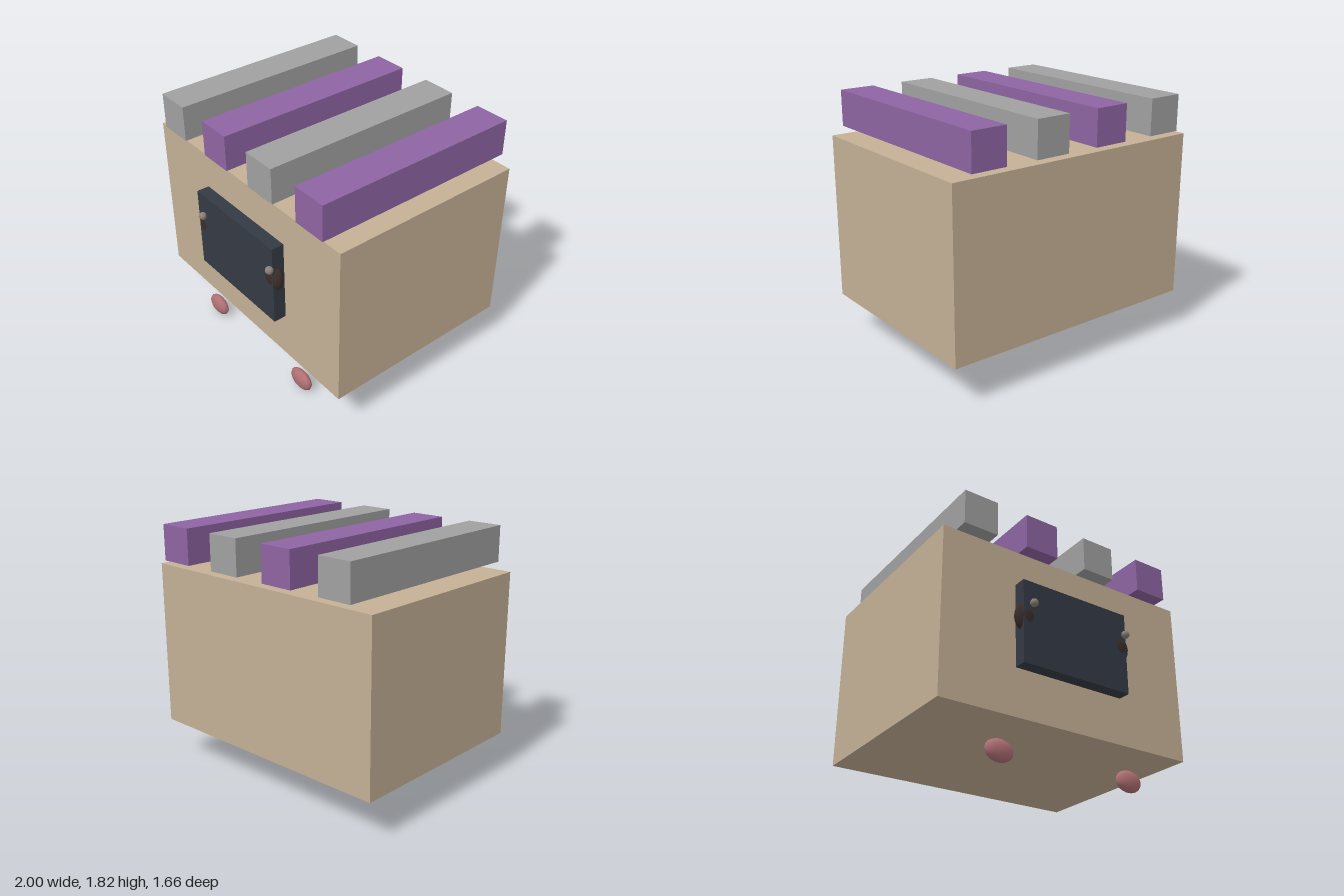
import * as THREE from 'three';

const mat = (color) => new THREE.MeshStandardMaterial({ color });
const tan = mat(0xc4b095), grey = mat(0xa0a0a0), purple = mat(0x8e64a2);
const slate = mat(0x343a44), brown = mat(0x3a2e2a), stone = mat(0x8a8078), pink = mat(0xb07074);

export function createModel() {
  const model = new THREE.Group();

  // Box spanning two opposite corners
  const box = (name, material, [x0, y0, z0], [x1, y1, z1]) => {
    const mesh = new THREE.Mesh(new THREE.BoxGeometry(x1 - x0, y1 - y0, z1 - z0), material);
    mesh.position.set((x0 + x1) / 2, (y0 + y1) / 2, (z0 + z1) / 2);
    mesh.name = name;
    model.add(mesh);
  };

  // Sphere stretched to the given radii
  const ellipsoid = (name, material, centre, radii) => {
    const mesh = new THREE.Mesh(new THREE.SphereGeometry(1, 12, 10), material);
    mesh.position.set(...centre);
    mesh.scale.set(...radii);
    mesh.name = name;
    model.add(mesh);
  };

  // Body and front panel
  box('body', tan, [-1, 0.3, -0.785], [1, 1.515, 0.69]);
  box('frontPanel', slate, [-0.435, 0.645, 0.69], [0.435, 1.255, 0.783]);

  // Row of bars floating above the body, alternating in colour
  [-0.74, -0.24, 0.26, 0.76].forEach((x, i) => {
    box('topBar' + (i + 1), i % 2 ? purple : grey, [x - 0.13, 1.56, -0.83], [x + 0.13, 1.82, 0.735]);
  });

  for (const [side, s] of [['left', 1], ['right', -1]]) {
    // Eyes set into the panel edges, each with a highlight shifted to the same side
    ellipsoid(side + 'Eye', brown, [s * 0.392, 0.995, 0.742], [0.088, 0.108, 0.047]);
    ellipsoid(side + 'EyeHighlight', stone, [s * 0.392 + 0.03, 1.09, 0.8], [0.029, 0.029, 0.029]);
    // Feet
    ellipsoid(side + 'Foot', pink, [s * 0.522, 0.077, 0.632], [0.107, 0.077, 0.043]);
  }
  return model;
}
